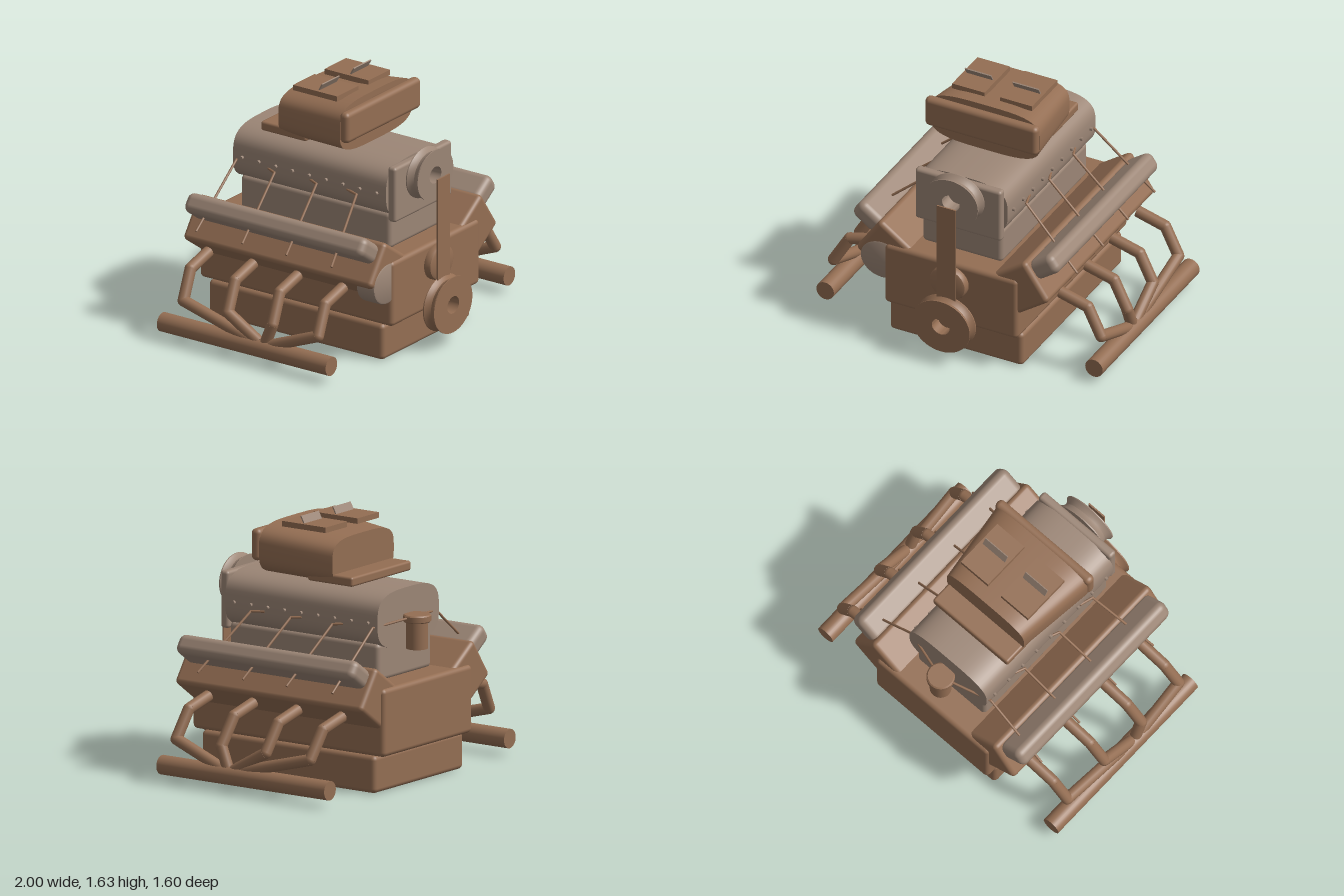
import * as THREE from 'three';
import { toCreasedNormals } from 'three/addons/utils/BufferGeometryUtils.js';
import { RoundedBoxGeometry } from 'three/addons/geometries/RoundedBoxGeometry.js';

const bronze = new THREE.MeshStandardMaterial({ name: 'bronze brown', color: 0x946e53 });
const metal = new THREE.MeshStandardMaterial({ name: 'warm grey metal', color: 0x9c8676 });

export function createModel() {
  const root = new THREE.Group();
  root.name = 'engine';

  function add(name, geometry, material, x = 0, y = 0, z = 0) {
    const mesh = new THREE.Mesh(geometry, material);
    mesh.name = name;
    mesh.position.set(x, y, z);
    root.add(mesh);
    return mesh;
  }

  // Rounded box given by its extents
  function block(name, material, [x0, x1], [y0, y1], [z0, z1], radius) {
    return add(name, new RoundedBoxGeometry(x1 - x0, y1 - y0, z1 - z0, 3, radius), material,
      (x0 + x1) / 2, (y0 + y1) / 2, (z0 + z1) / 2);
  }

  // Round pipe through a list of points, with ball joints at the bends
  function pipe(name, points, radius, material, sides = 16) {
    const group = new THREE.Group();
    group.name = name;
    const up = new THREE.Vector3(0, 1, 0);
    const pts = points.map((p) => new THREE.Vector3(...p));
    for (let i = 1; i < pts.length; i++) {
      const dir = pts[i].clone().sub(pts[i - 1]);
      const rod = new THREE.Mesh(new THREE.CylinderGeometry(radius, radius, dir.length(), sides), material);
      rod.position.copy(pts[i]).add(pts[i - 1]).multiplyScalar(0.5);
      rod.quaternion.setFromUnitVectors(up, dir.normalize());
      group.add(rod);
      if (i < pts.length - 1) {
        const joint = new THREE.Mesh(new THREE.SphereGeometry(radius, sides, 8), material);
        joint.position.copy(pts[i]);
        group.add(joint);
      }
    }
    root.add(group);
  }

  // Closed loft along z through superellipse sections [z, halfWidth, bottom, top]
  function loft(sections, power, sides = 56) {
    const pos = [], index = [];
    for (const [z, w, y0, y1] of sections) {
      for (let i = 0; i < sides; i++) {
        const a = (i / sides) * Math.PI * 2, c = Math.cos(a), s = Math.sin(a);
        pos.push(w * Math.sign(c) * Math.abs(c) ** (2 / power),
          (y0 + y1) / 2 + ((y1 - y0) / 2) * Math.sign(s) * Math.abs(s) ** (2 / power), z);
      }
    }
    for (let k = 0; k < sections.length - 1; k++) {
      for (let i = 0; i < sides; i++) {
        const j = (i + 1) % sides, a = k * sides, b = a + sides;
        index.push(a + i, a + j, b + j, a + i, b + j, b + i);
      }
    }
    const last = (sections.length - 1) * sides;
    for (let i = 1; i < sides - 1; i++) {
      index.push(0, i + 1, i, last, last + i, last + i + 1);
    }
    const g = new THREE.BufferGeometry();
    g.setAttribute('position', new THREE.Float32BufferAttribute(pos, 3));
    g.setIndex(index);
    return toCreasedNormals(g, 0.6);
  }

  // Turned part facing +z, squashed to the given half height
  function turned(name, profile, material, x, y, z, squash) {
    const pts = profile.map(([r, h]) => new THREE.Vector2(r, h));
    const mesh = add(name, toCreasedNormals(new THREE.LatheGeometry(pts, 48), 0.6), material, x, y, z);
    mesh.rotation.x = Math.PI / 2;
    mesh.scale.z = squash;
  }

  const pulley = (r, d) => [[0.062, 0], [r, 0], [r, 0.007], [r * 0.91, d * 0.28], [r * 0.87, d * 0.5],
    [r * 0.91, d * 0.72], [r, d - 0.007], [r, d], [0.062, d], [0.062, 0]];
  const drum = (r, d, b) => [[0, 0], [r - b, 0], [r - b * 0.3, b * 0.3], [r, b], [r, d - b],
    [r - b * 0.3, d - b * 0.3], [r - b, d], [0, d]];

  // Crankcase
  block('oilPan', bronze, [-0.465, 0.465], [0, 0.237], [-0.73, 0.6], 0.03);
  block('engineBlock', bronze, [-0.465, 0.465], [0.237, 0.667], [-0.8, 0.67], 0.03);

  // Supercharger on its manifold
  block('intakeManifold', metal, [-0.28, 0.28], [0.66, 0.9], [-0.62, 0.52], 0.03);
  add('superchargerCase', loft([[-0.645, 0.32, 0.855, 1.22], [0.52, 0.32, 0.855, 1.22]], 3.2), metal);
  block('superchargerFrontPlate', metal, [-0.3, 0.3], [0.855, 1.217], [0.515, 0.575], 0.02);

  // Front drive
  turned('superchargerPulley', pulley(0.188, 0.09), metal, 0, 1.103, 0.575, 0.87);
  turned('crankPulley', pulley(0.202, 0.085), bronze, 0, 0.272, 0.715, 0.9);
  turned('idlerPulley', drum(0.127, 0.07, 0.02), bronze, 0, 0.535, 0.65, 0.9);
  add('driveBelt', new THREE.BoxGeometry(0.13, 0.84, 0.01), bronze, 0, 0.685, 0.725);
  turned('fuelPump', drum(0.15, 0.14, 0.015), metal, -0.487, 0.535, 0.52, 0.88);

  // Distributor
  add('distributorBody', new THREE.CylinderGeometry(0.068, 0.068, 0.18, 32), bronze, 0, 0.93, -0.713);
  add('distributorCap', toCreasedNormals(new THREE.LatheGeometry(
    [[0, 0], [0.082, 0], [0.088, 0.006], [0.088, 0.039], [0.08, 0.047], [0, 0.047]]
      .map(([r, h]) => new THREE.Vector2(r, h)), 32), 0.6), bronze, 0, 1.009, -0.713);

  // Air scoop
  add('scoopBody', loft([[-0.3, 0.32, 1.222, 1.52], [0.215, 0.385, 1.24, 1.568]], 3.6), bronze);
  block('scoopLip', bronze, [-0.392, 0.392], [1.335, 1.537], [0.21, 0.278], 0.03);
  block('scoopBase', bronze, [-0.31, 0.31], [1.242, 1.303], [-0.443, -0.1], 0.015);

  for (const s of [-1, 1]) {
    // Scoop top plates and butterfly flaps
    add('scoopTopPlate', new THREE.BoxGeometry(0.225, 0.035, 0.335), bronze, s * 0.166, 1.568, -0.05);
    const flap = add('throttleFlap', new THREE.BoxGeometry(0.183, 0.055, 0.008), metal, s * 0.166, 1.605, -0.025);
    flap.rotation.x = 0.5;

    // Cylinder head and valve cover
    const head = add('cylinderHead', new RoundedBoxGeometry(0.4, 0.3, 1.435, 3, 0.03), bronze,
      s * 0.427, 0.576, -0.062);
    head.rotation.z = s * 0.61;
    const cover = add('valveCover', new RoundedBoxGeometry(0.2, 0.13, 1.365, 4, 0.045), metal,
      s * 0.614, 0.777, -0.062);
    cover.rotation.z = s * 0.61;

    // Case bolts
    for (let i = 0; i < 9; i++) {
      const bolt = add('caseBolt', new THREE.CylinderGeometry(0.012, 0.012, 0.03, 8), metal,
        s * 0.322, 1.035, 0.45 - i * 0.128);
      bolt.rotation.z = Math.PI / 2;
    }

    // Spark plug wires
    [[0.22, 0.31, 0.415], [-0.06, 0.005, 0.07], [-0.38, -0.315, -0.265]].forEach(([a, b, c]) =>
      pipe('sparkWire', [[s * 0.315, 1.005, a], [s * 0.34, 1.0, b], [s * 0.75, 0.672, c]], 0.008, bronze, 8));
    pipe('sparkWire', [[s * 0.06, 1.04, -0.7], [s * 0.33, 1.01, -0.615], [s * 0.75, 0.672, -0.615]],
      0.008, bronze, 8);

    // Exhaust headers and collector
    [[0.42, 0.445, 0.09], [0.075, 0.1, 0.045], [-0.265, -0.24, 0.0], [-0.605, -0.58, -0.05]].forEach(([a, b, c]) =>
      pipe('exhaustHeader', [[s * 0.635, 0.503, a], [s * 0.83, 0.455, a + 0.005],
        [s * 0.932, 0.28, b], [s * 0.935, 0.14, c]], 0.037, bronze));
    pipe('exhaustCollector', [[s * 0.937, 0.106, -0.735], [s * 0.937, 0.106, 0.55]], 0.061, bronze, 32);
  }
  return root;
}
